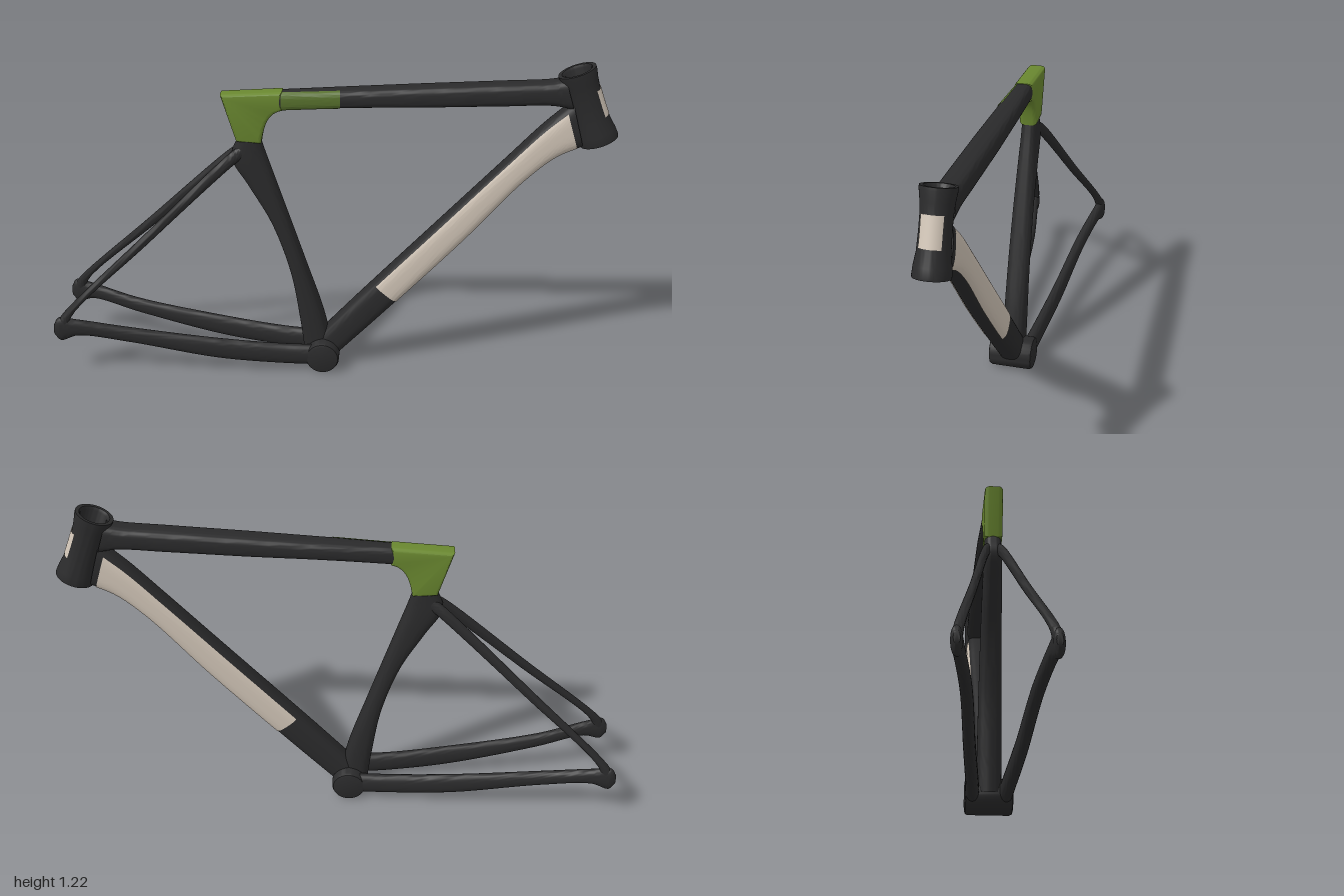
import * as THREE from 'three';
import { toCreasedNormals } from 'three/addons/utils/BufferGeometryUtils.js';

const mat = (name, color, side = THREE.FrontSide) => {
  const m = new THREE.MeshStandardMaterial({ color, side });
  m.name = name;
  return m;
};

// Loft through stations [ax, ay, bx, by, z, halfDepth]: a and b are the two
// edges of the tube in side view, a lying to the left of the travel direction.
function loft(stations, { power = 2.6, s0 = 0, s1 = 1, t0 = 0, t1 = 360, grow = 0, rings = 40, sides = 36 } = {}) {
  const curve = (f) => new THREE.CatmullRomCurve3(stations.map(f));
  const ca = curve((s) => new THREE.Vector3(s[0], s[1], s[4]));
  const cb = curve((s) => new THREE.Vector3(s[2], s[3], s[4]));
  const depth = (s) => {
    const k = s * (stations.length - 1);
    const i = Math.min(Math.floor(k), stations.length - 2);
    return THREE.MathUtils.lerp(stations[i][5], stations[i + 1][5], k - i);
  };
  const bend = (v) => Math.sign(v) * Math.abs(v) ** (2 / power);
  const pos = [], idx = [], row = sides + 1;
  for (let i = 0; i <= rings; i++) {
    const s = s0 + (s1 - s0) * i / rings;
    const a = ca.getPoint(s), b = cb.getPoint(s);
    const mid = a.clone().add(b).multiplyScalar(0.5);
    const up = a.clone().sub(b).multiplyScalar(0.5);
    up.setLength(up.length() + grow);
    for (let j = 0; j <= sides; j++) {
      const t = THREE.MathUtils.degToRad(t0 + (t1 - t0) * j / sides);
      const u = bend(Math.cos(t));
      pos.push(mid.x + up.x * u, mid.y + up.y * u, mid.z + (depth(s) + grow) * bend(Math.sin(t)));
    }
  }
  for (let i = 0; i < rings; i++) {
    for (let j = 0; j < sides; j++) {
      const p = i * row + j, q = p + row;
      idx.push(p, p + 1, q, p + 1, q + 1, q);
    }
  }
  // End caps for full tubes
  if (t1 - t0 === 360) {
    for (const i of [0, rings]) {
      for (let j = 1; j < sides - 1; j++) {
        const p = i * row;
        if (i === 0) idx.push(p, p + j + 1, p + j);
        else idx.push(p, p + j, p + j + 1);
      }
    }
  }
  const g = new THREE.BufferGeometry();
  g.setAttribute('position', new THREE.Float32BufferAttribute(pos, 3));
  g.setIndex(idx);
  return toCreasedNormals(g, 0.9);
}

const lathe = (pts, ...args) => new THREE.LatheGeometry(pts.map(([r, y]) => new THREE.Vector2(r, y)), ...args);

export function createModel() {
  const group = new THREE.Group();
  group.name = 'bicycleFrame';
  const black = mat('matteBlack', 0x2a2a2b);
  const green = mat('mossGreen', 0x6a8830);
  const olive = mat('darkOlive', 0x566f2c, THREE.DoubleSide);
  const cream = mat('warmCream', 0xd0c4b6, THREE.DoubleSide);
  const add = (name, geometry, material, parent = group) => {
    const m = new THREE.Mesh(geometry, material);
    m.name = name;
    parent.add(m);
    return m;
  };

  // Top tube, with a coloured panel on one side
  const topTube = [
    [-0.18, 1.096, -0.18, 1.03, 0, 0.031],
    [0.04, 1.11, 0.04, 1.045, 0, 0.039],
    [0.32, 1.129, 0.32, 1.055, 0, 0.042],
    [0.6, 1.147, 0.6, 1.067, 0, 0.042],
    [0.75, 1.157, 0.76, 1.073, 0, 0.042],
    [0.8, 1.168, 0.835, 1.06, 0, 0.042],
  ];
  add('topTube', loft(topTube, { power: 3.2 }), black);
  add('topTubePanel', loft(topTube, { power: 3.2, s0: 0.015, s1: 0.2, t0: 22, t1: 158, grow: 0.002, rings: 10 }), olive);

  // Down tube, with long panels on both sides
  const downTube = [
    [-0.05, 0.12, 0.01, 0.03, 0, 0.043],
    [0.12, 0.313, 0.205, 0.24, 0, 0.043],
    [0.4, 0.623, 0.48, 0.546, 0, 0.043],
    [0.62, 0.866, 0.69, 0.797, 0, 0.043],
    [0.74, 0.999, 0.79, 0.885, 0, 0.043],
    [0.83, 1.085, 0.875, 0.925, 0, 0.043],
  ];
  add('downTube', loft(downTube, { power: 3 }), black);
  for (const [name, t0, t1] of [['leftDownTubePanel', 48, 150], ['rightDownTubePanel', 210, 312]]) {
    add(name, loft(downTube, { power: 3, s0: 0.235, s1: 0.955, t0, t1, grow: 0.002 }), cream);
  }

  // Seat tube, flaring towards the stays
  add('seatTube', loft([
    [-0.09, 0.06, 0.01, 0.1, 0, 0.042],
    [-0.107, 0.2, -0.019, 0.23, 0, 0.042],
    [-0.14, 0.395, -0.08, 0.42, 0, 0.04],
    [-0.205, 0.59, -0.142, 0.612, 0, 0.037],
    [-0.285, 0.735, -0.197, 0.783, 0, 0.034],
    [-0.345, 0.845, -0.222, 0.86, 0, 0.032],
    [-0.323, 0.915, -0.237, 0.91, 0, 0.029],
  ]), black);

  // Seat cluster where the seat tube meets the top tube
  const shape = new THREE.Shape();
  shape.moveTo(-0.375, 1.083);
  shape.lineTo(-0.323, 0.91);
  shape.lineTo(-0.236, 0.905);
  shape.bezierCurveTo(-0.225, 0.98, -0.205, 1.022, -0.16, 1.03);
  shape.lineTo(-0.16, 1.099);
  shape.closePath();
  const cluster = new THREE.ExtrudeGeometry(shape, {
    depth: 0.032, bevelThickness: 0.016, bevelSize: 0.012, bevelOffset: -0.012, bevelSegments: 4, curveSegments: 12,
  });
  cluster.translate(0, 0, -0.016);
  add('seatCluster', toCreasedNormals(cluster, 0.7), green);

  // Head tube: hollow, flared at both ends and leaning back
  const head = new THREE.Group();
  head.name = 'headTubeAssembly';
  head.position.set(0.8825, 1.069, 0);
  head.rotation.z = 0.36;
  head.scale.x = 1.15;
  group.add(head);
  add('headTube', toCreasedNormals(lathe([
    [0.041, -0.125], [0.046, -0.135], [0.058, -0.135], [0.059, -0.128], [0.057, -0.1], [0.051, -0.06],
    [0.049, 0], [0.049, 0.05], [0.052, 0.09], [0.057, 0.125], [0.057, 0.135],
    [0.046, 0.135], [0.041, 0.125], [0.041, -0.125],
  ], 48), 0.6), black, head);
  add('headTubeBadge', lathe([[0.0515, -0.045], [0.051, 0], [0.0515, 0.055]], 16, Math.PI / 2 - 0.75, 1.5), cream, head);

  // Bottom bracket shell with softened rims
  const shell = add('bottomBracket', toCreasedNormals(lathe([
    [0, -0.082], [0.05, -0.082], [0.058, -0.079], [0.062, -0.07],
    [0.062, 0.07], [0.058, 0.079], [0.05, 0.082], [0, 0.082],
  ], 48), 0.6), black);
  shell.rotation.x = Math.PI / 2;
  shell.position.set(-0.02, 0.065, 0);

  // Mirrored stays; each chain stay ends in a rounded dropout
  for (const [side, k] of [['left', 1], ['right', -1]]) {
    add(side + 'ChainStay', loft([
      [-1, 0.215, -1, 0.175, 0.145 * k, 0.01],
      [-0.982, 0.243, -0.978, 0.15, 0.145 * k, 0.018],
      [-0.92, 0.232, -0.915, 0.168, 0.137 * k, 0.018],
      [-0.74, 0.19, -0.73, 0.13, 0.108 * k, 0.019],
      [-0.42, 0.142, -0.41, 0.06, 0.083 * k, 0.02],
      [-0.18, 0.116, -0.17, 0.035, 0.064 * k, 0.022],
      [-0.03, 0.11, -0.03, 0.03, 0.055 * k, 0.024],
    ], { power: 2.2, rings: 48, sides: 28 }), black);
    add(side + 'SeatStay', loft([
      [-0.99, 0.22, -0.945, 0.195, 0.144 * k, 0.017],
      [-0.965, 0.258, -0.935, 0.245, 0.138 * k, 0.016],
      [-0.67, 0.55, -0.647, 0.527, 0.083 * k, 0.014],
      [-0.36, 0.855, -0.335, 0.822, 0.028 * k, 0.014],
      [-0.31, 0.895, -0.285, 0.86, 0.015 * k, 0.014],
    ], { power: 2.2, rings: 32, sides: 24 }), black);
  }
  return group;
}
